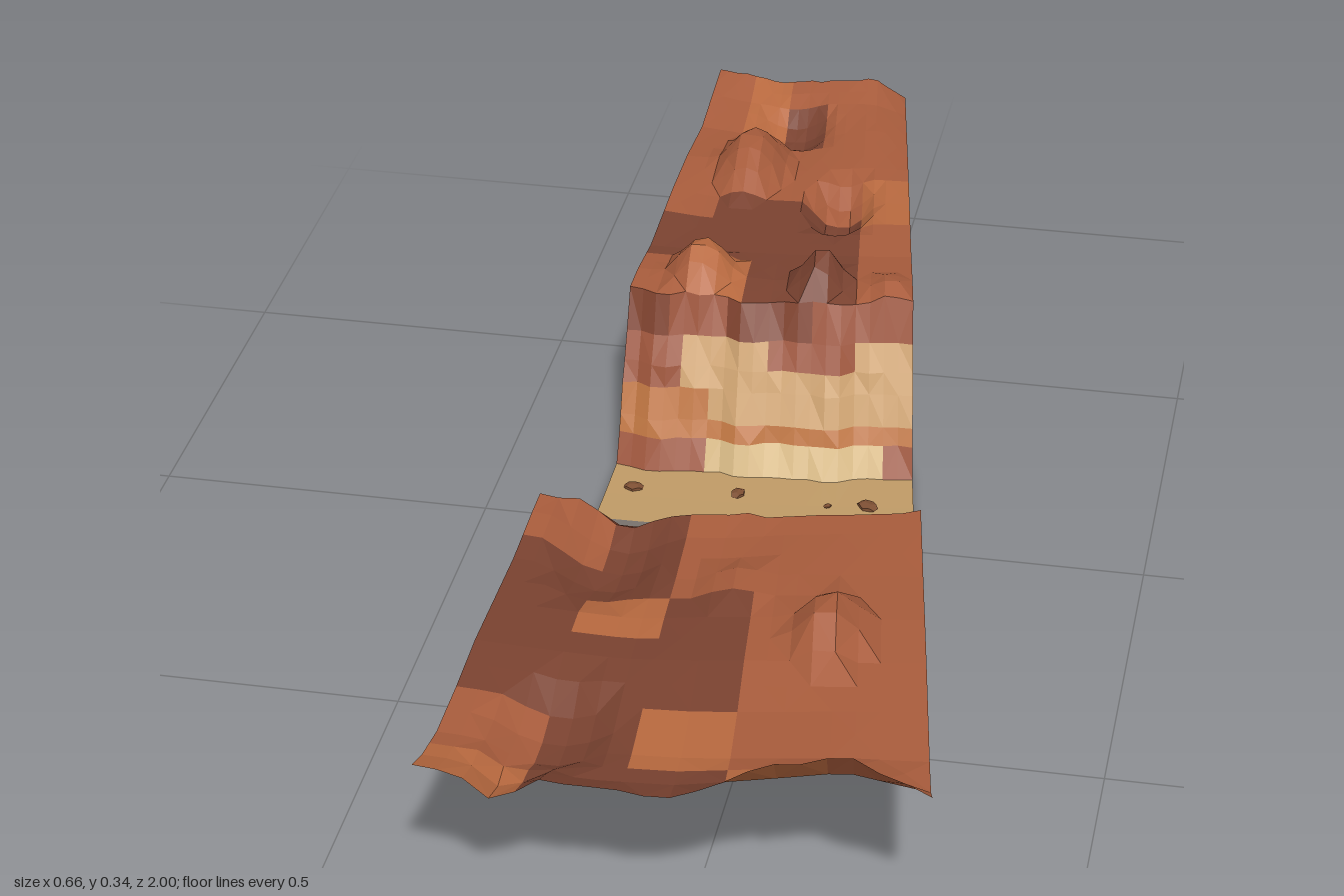
import * as THREE from 'three';

// The tile is a 10 degree wedge of terrain rings around a far centre point.
const LEFT = -0.33, CENTRE = 2.76, SWEEP = 0.175, COLS = 20;

const palette = {
  plateauRust: 0xa85c3c, plateauDark: 0x7a4230, plateauOrange: 0xb8693f,
  cliffTan: 0xcda270, cliffCream: 0xd6b884, cliffOrange: 0xbe7541, cliffRust: 0x9c543a, cliffRim: 0x80432f,
  valleySand: 0xd2ae7a, valleyDarkSand: 0xbf9a66, road: 0x78726c,
};

const hash = (a, b) => {
  const v = Math.sin(a * 127.1 + b * 311.7) * 43758.5453;
  return v - Math.floor(v);
};

// Position s (z at the left edge) followed by heights from left to right.
const backPlateau = [
  [-0.975, 0.265, 0.265, 0.25, 0.255, 0.26, 0.265, 0.23],
  [-0.91, 0.255, 0.245, 0.24, 0.245, 0.25, 0.25, 0.23],
  [-0.82, 0.24, 0.235, 0.225, 0.225, 0.24, 0.25, 0.235],
  [-0.70, 0.25, 0.25, 0.245, 0.235, 0.24, 0.245, 0.24],
  [-0.59, 0.25, 0.24, 0.24, 0.24, 0.24, 0.24, 0.24],
  [-0.42, 0.24, 0.24, 0.24, 0.24, 0.24, 0.24, 0.24],
  [-0.33, 0.25, 0.25, 0.25, 0.245, 0.25, 0.25, 0.25],
  [-0.265, 0.25, 0.25, 0.245, 0.24, 0.25, 0.24, 0.25],
];
const frontPlateau = [
  [0.305, 0.25, 0.235, 0.23, 0.235, 0.24, 0.245, 0.25],
  [0.36, 0.25, 0.24, 0.225, 0.23, 0.24, 0.245, 0.25],
  [0.47, 0.245, 0.24, 0.23, 0.235, 0.25, 0.25, 0.25],
  [0.58, 0.25, 0.245, 0.24, 0.25, 0.255, 0.255, 0.255],
  [0.68, 0.255, 0.25, 0.245, 0.25, 0.255, 0.255, 0.255],
  [0.78, 0.25, 0.245, 0.24, 0.24, 0.245, 0.25, 0.25],
  [0.88, 0.25, 0.245, 0.24, 0.24, 0.245, 0.25, 0.245],
  [0.95, 0.265, 0.26, 0.25, 0.25, 0.265, 0.28, 0.25],
  [1.00, 0.283, 0.287, 0.278, 0.265, 0.32, 0.345, 0.283],
];
const flat = (s, y) => [s, y, y, y, y, y, y, y];
const backWall = [[-0.238, 0.19], [-0.215, 0.15], [-0.2, 0.12], [-0.178, 0.075], [-0.165, 0.05], [-0.14, 0.006]];
const frontWall = [[0.15, 0.006], [0.19, 0.05], [0.205, 0.075], [0.235, 0.12], [0.255, 0.15], [0.282, 0.19]];

// Rock outcrops and, with a negative rise, gullies: x, z, half width, half length, rise
const features = [
  [-0.23, -0.34, 0.06, 0.07, 0.05], [-0.045, -0.34, 0.045, 0.06, 0.052], [0.06, -0.33, 0.04, 0.05, 0.02],
  [-0.22, -0.7, 0.06, 0.13, 0.05], [-0.06, -0.6, 0.06, 0.1, -0.045], [-0.18, -0.86, 0.07, 0.07, -0.025],
  [0.13, 0.58, 0.06, 0.1, 0.045], [-0.02, 0.48, 0.06, 0.06, 0.02],
  [-0.21, 0.4, 0.09, 0.17, -0.04], [-0.19, 0.83, 0.09, 0.12, -0.035], [-0.225, 0.99, 0.05, 0.1, -0.04],
];

function place(s, u) {
  const r = CENTRE + s, a = u * SWEEP;
  return [LEFT + r * Math.sin(a), r * Math.cos(a) - CENTRE];
}

function heightAcross(row, u) {
  const f = Math.min(u * 6, 5.9999), i = Math.floor(f);
  return THREE.MathUtils.lerp(row[i + 1], row[i + 2], f - i);
}

// Fill in rings between the control rows.
function subdivide(rows, step) {
  const out = [];
  rows.forEach((row, i) => {
    const next = rows[i + 1];
    const n = next ? Math.max(1, Math.round((next[0] - row[0]) / step)) : 1;
    for (let k = 0; k < n; k++) out.push(row.map((v, j) => next ? THREE.MathUtils.lerp(v, next[j], k / n) : v));
  });
  return out;
}

function surfacePoint(row, r, u, c, last) {
  const s = row[0], wall = Math.abs(s) > 0.13 && Math.abs(s) < 0.31;
  // Cliffs are fluted; outer borders are slightly ragged.
  let shift = wall ? (hash(Math.floor(c / 2), Math.sign(s)) - 0.5) * 0.018 + (hash(c, r) - 0.5) * 0.006 : 0;
  if (r === 0 || r === last) shift = (hash(c, r) - 0.5) * 0.01;
  const [x, z] = place(s + shift, u);
  let y = heightAcross(row, u);
  if (s < -0.25 || s > 0.29) {
    for (const [fx, fz, w, l, rise] of features) {
      const d = Math.hypot((x - fx) / w, (z - fz) / l);
      y += rise * THREE.MathUtils.clamp(1.5 * (1 - d), 0, 1);
    }
  }
  return [x, y, z];
}

// Choose a rock layer by height on the cliffs and by patch on the plateaus.
function layer(s, u, y) {
  if (s > 0 && s < 0.034) return 'road';
  if (Math.abs(s) < 0.14) return s < 0 ? 'valleyDarkSand' : 'valleySand';
  const side = Math.sign(s);
  if (s > -0.265 && s < 0.305) {
    const patch = hash(Math.floor(u * 6), side * 3);
    if (y > 0.185) return patch > 0.5 ? 'cliffRust' : 'cliffRim';
    if (y < 0.05) return u < 0.32 || u > 0.9 ? 'cliffRust' : 'cliffCream';
    if (y < 0.075 || (y < 0.115 && u < 0.3)) return 'cliffOrange';
    if (u < 0.18 || (y > 0.135 && u > 0.5 && u < 0.82)) return 'cliffRust';
    return 'cliffTan';
  }
  const patch = hash(Math.floor(u * 5) + 5, Math.floor(s / 0.13));
  const darkBack = s > -0.6 ? 0.85 : 0.15;
  const darkFront = u < 0.4 ? 0.75 : 0.2;
  if (patch < (s < 0 ? darkBack : darkFront)) return 'plateauDark';
  return patch > 0.92 ? 'plateauOrange' : 'plateauRust';
}

export function createModel() {
  const group = new THREE.Group();
  group.name = 'canyonTerrain';

  const rows = [
    ...subdivide(backPlateau, 0.035),
    ...backWall.map((p) => flat(...p)),
    ...[-0.07, 0, 0.034, 0.09].map((s) => flat(s, 0.004)),
    ...frontWall.map((p) => flat(...p)),
    ...subdivide(frontPlateau, 0.045),
  ];
  const last = rows.length - 1;
  const grid = rows.map((row, r) =>
    Array.from({ length: COLS + 1 }, (_, c) => surfacePoint(row, r, c / COLS, c, last)));

  // Sort the faces into one mesh per rock layer.
  const faces = {};
  for (let r = 0; r < last; r++) {
    for (let c = 0; c < COLS; c++) {
      const a = grid[r][c], b = grid[r + 1][c], d = grid[r + 1][c + 1], e = grid[r][c + 1];
      const y = (a[1] + b[1] + d[1] + e[1]) / 4;
      const name = layer((rows[r][0] + rows[r + 1][0]) / 2, (c + 0.5) / COLS, y);
      const corners = (r + c) % 2 ? [a, b, d, a, d, e] : [a, b, e, b, d, e];
      (faces[name] ??= []).push(...corners.flat());
    }
  }
  for (const [name, positions] of Object.entries(faces)) {
    const geometry = new THREE.BufferGeometry();
    geometry.setAttribute('position', new THREE.Float32BufferAttribute(positions, 3));
    geometry.computeVertexNormals();
    const mesh = new THREE.Mesh(geometry, new THREE.MeshStandardMaterial({
      color: palette[name], flatShading: true, side: THREE.DoubleSide,
    }));
    mesh.name = name;
    group.add(mesh);
  }

  // Loose stones on the valley floor: x, z, radius
  const stones = [
    [-0.29, -0.09, 0.016], [-0.13, -0.1, 0.015], [0.07, -0.1, 0.018], [0.01, -0.09, 0.007],
    [-0.19, 0.11, 0.018], [-0.06, 0.07, 0.008], [-0.05, 0.1, 0.01], [0, 0.06, 0.007],
    [-0.1, 0.06, 0.006], [0.07, 0.04, 0.006], [-0.17, 0.1, 0.01],
  ];
  const stoneMaterial = new THREE.MeshStandardMaterial({ color: 0x7d4f33, flatShading: true });
  stones.forEach(([x, z, radius], i) => {
    const stone = new THREE.Mesh(new THREE.DodecahedronGeometry(radius), stoneMaterial);
    stone.name = 'stone';
    stone.position.set(x, 0.006, z);
    stone.scale.set(1, 0.35, 0.75);
    stone.rotation.y = i * 1.3;
    group.add(stone);
  });

  // Stand the tile on the ground.
  const box = new THREE.Box3().setFromObject(group);
  group.position.y = -box.min.y;
  return group;
}
